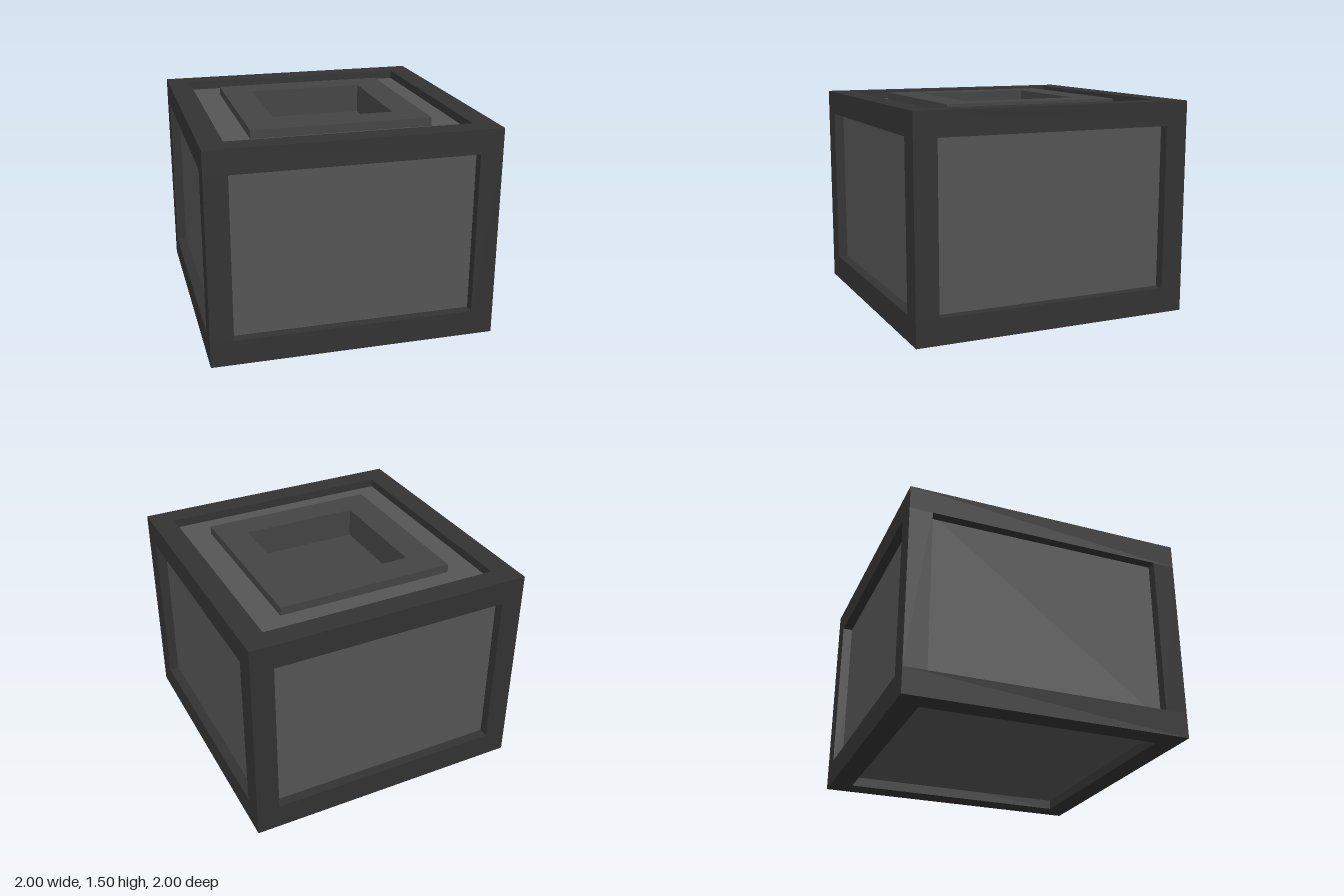
import * as THREE from 'three';

const material = (color) => new THREE.MeshStandardMaterial({ color, flatShading: true });

// Square solid swept from a profile of [half width, height] points
function squareSweep(name, profile, mat) {
  const points = profile.map(([half, y]) => new THREE.Vector2(half * Math.SQRT2, y));
  const mesh = new THREE.Mesh(new THREE.LatheGeometry(points, 4, Math.PI / 4), mat);
  mesh.name = name;
  return mesh;
}

export function createModel() {
  const crate = new THREE.Group();
  crate.name = 'crate';

  const frameMat = material(0x333333);
  const panelMat = material(0x555555);
  const hatchMat = material(0x444444);

  const height = 1.5, inner = 0.84, lowRail = 0.18, highRail = 1.33, recess = 0.07;

  // Square rails around the bottom and the top
  const rail = (name, y0, y1) => squareSweep(name,
    [[inner, y0], [1, y0], [1, y1], [inner, y1], [inner, y0]], frameMat);
  crate.add(rail('bottomFrame', 0, lowRail), rail('topFrame', highRail, height));

  // Four corner posts between the rails
  const postSize = 1 - inner;
  const postGeometry = new THREE.BoxGeometry(postSize, highRail - lowRail, postSize);
  for (const x of [-1, 1]) {
    for (const z of [-1, 1]) {
      const post = new THREE.Mesh(postGeometry, frameMat);
      post.name = 'cornerPost';
      post.position.set(x * (1 - postSize / 2), (lowRail + highRail) / 2, z * (1 - postSize / 2));
      crate.add(post);
    }
  }

  // Recessed panels: one closed body with a square opening in its top
  const panelTop = height - 0.06, hatchOuter = 0.63, hatchInner = 0.42;
  crate.add(squareSweep('panels',
    [[0, recess], [1 - recess, recess], [1 - recess, panelTop], [0.5, panelTop]], panelMat));

  // Raised hatch rim and the sunken well inside it
  crate.add(squareSweep('hatch',
    [[hatchOuter, panelTop], [hatchOuter, height], [hatchInner, height], [hatchInner, 1.29], [0, 1.29]],
    hatchMat));

  return crate;
}
